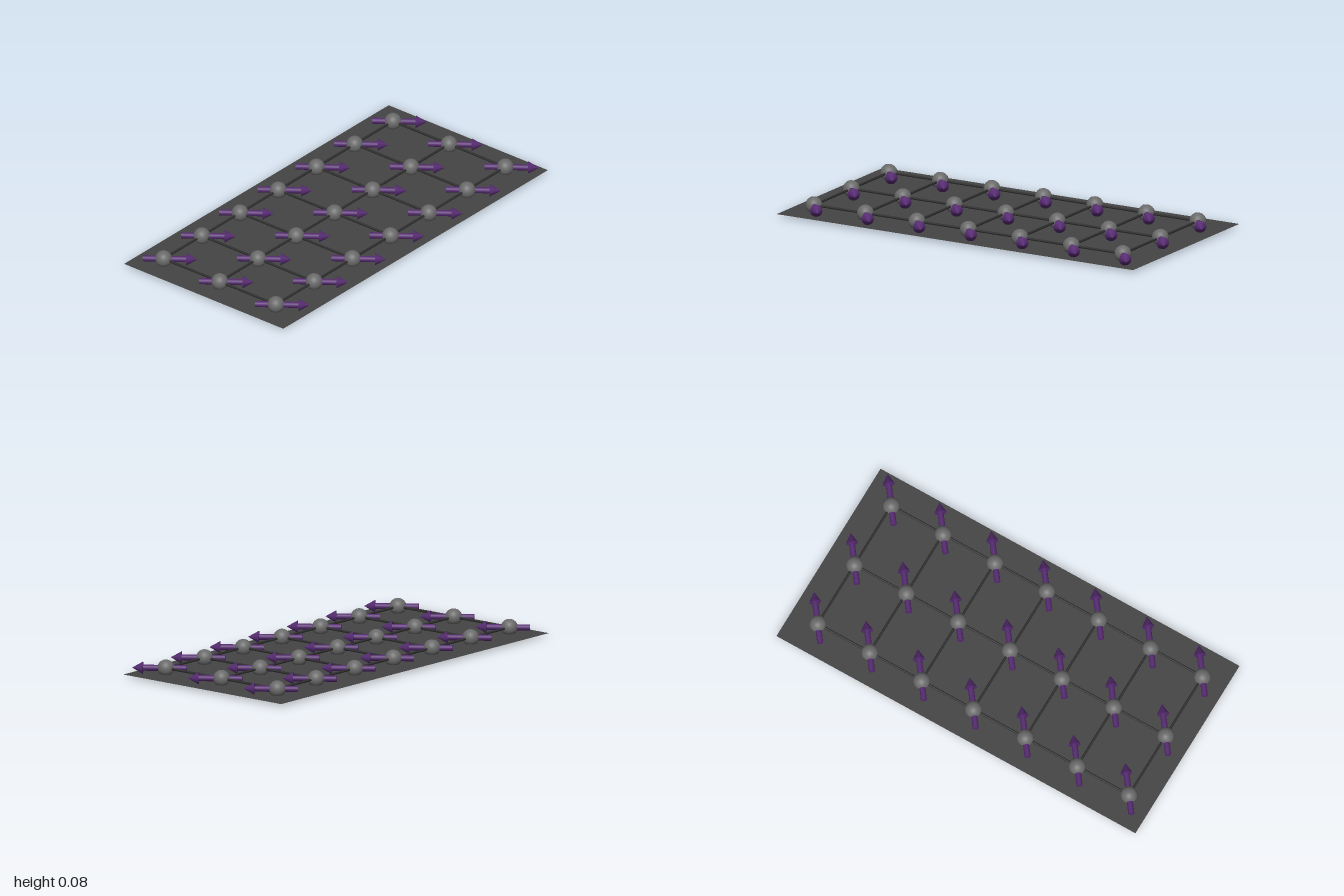
import * as THREE from 'three';

const COLS = 3, ROWS = 7;
const DX = 0.35, DZ = 0.289, Z0 = 0.012; // lattice spacing and offset
const Y = 0.041;                          // height of the lattice
const YAW = Math.atan2(0.3, 0.4);         // arrow heading, from +x towards -z

const paint = (color, side = THREE.FrontSide) => new THREE.MeshStandardMaterial({ color, side });

export function createModel() {
  const model = new THREE.Group();
  model.name = 'arrowLattice';
  const baseMat = paint(0x444444, THREE.DoubleSide);
  const ballMat = paint(0x6a6a6a);
  const rodMat = paint(0x2e2e2e);
  const arrowMat = paint(0x552a70);

  const add = (parent, geo, mat, name, x = 0, y = 0, z = 0) => {
    const mesh = new THREE.Mesh(geo, mat);
    mesh.name = name;
    mesh.position.set(x, y, z);
    parent.add(mesh);
    return mesh;
  };

  // Thin base sheet, pierced by the undersides of the balls
  add(model, new THREE.PlaneGeometry(0.992, 2).rotateX(-Math.PI / 2), baseMat, 'baseSheet', 0, 0.0125, 0);

  // Rods joining the lattice points
  const spanX = DX * (COLS - 1), spanZ = DZ * (ROWS - 1);
  const rodX = new THREE.CylinderGeometry(0.006, 0.006, spanX, 12).rotateZ(Math.PI / 2);
  const rodZ = new THREE.CylinderGeometry(0.006, 0.006, spanZ, 12).rotateX(Math.PI / 2);
  for (let r = 0; r < ROWS; r++) add(model, rodX, rodMat, 'crossRod', 0, Y, Z0 + (r - (ROWS - 1) / 2) * DZ);
  for (let c = 0; c < COLS; c++) add(model, rodZ, rodMat, 'longRod', (c - (COLS - 1) / 2) * DX, Y, Z0);

  // Ball with an arrow through it at each lattice point
  const ball = new THREE.SphereGeometry(0.041, 32, 20);
  const tail = -0.1, neck = 0.11, tip = 0.163;
  const shaft = new THREE.CylinderGeometry(0.0147, 0.0147, neck - tail, 20).rotateZ(-Math.PI / 2);
  const head = new THREE.ConeGeometry(0.03, tip - neck, 20).rotateZ(-Math.PI / 2);
  for (let c = 0; c < COLS; c++) {
    for (let r = 0; r < ROWS; r++) {
      const site = new THREE.Group();
      site.name = 'latticePoint';
      site.position.set((c - (COLS - 1) / 2) * DX, Y, Z0 + (r - (ROWS - 1) / 2) * DZ);
      site.rotation.y = YAW;
      add(site, ball, ballMat, 'ball');
      add(site, shaft, arrowMat, 'arrowShaft', (tail + neck) / 2);
      add(site, head, arrowMat, 'arrowHead', (neck + tip) / 2);
      model.add(site);
    }
  }
  return model;
}
